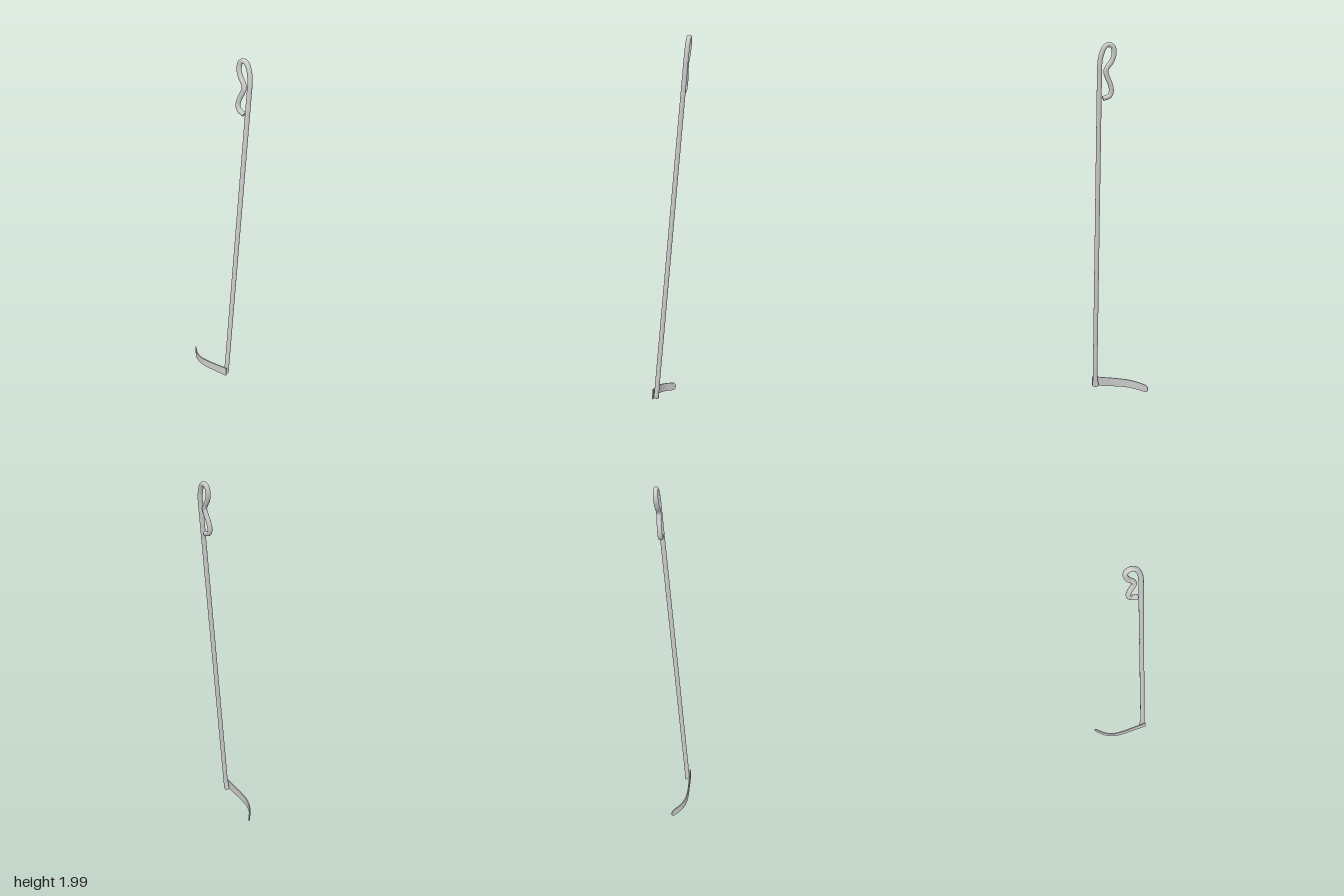
import * as THREE from 'three';

const ROD_R = 0.0128;
// The whole rod lies in one plane that leans back as it rises
const lean = (x, y) => new THREE.Vector3(x, y, 0.08 - 0.0883 * (y - 0.06));

function material() {
  return new THREE.MeshStandardMaterial({ color: 0xcccccc, side: THREE.DoubleSide });
}

function add(parent, name, geometry) {
  const mesh = new THREE.Mesh(geometry, material());
  mesh.name = name;
  parent.add(mesh);
  return mesh;
}

// Flat disc closing one end of a rod curve
function endCap(parent, name, curve, t) {
  const dir = curve.getTangent(t).multiplyScalar(t === 0 ? -1 : 1);
  const cap = add(parent, name, new THREE.CircleGeometry(ROD_R, 16));
  cap.position.copy(curve.getPoint(t));
  cap.quaternion.setFromUnitVectors(new THREE.Vector3(0, 0, 1), dir);
}

// Thin tapering blade: a box bent along a plan curve, with a rounded tip
function bladeGeometry() {
  const plan = new THREE.CatmullRomCurve3([
    [0.155, 0.097], [0.08, 0.0975], [0, 0.097], [-0.05, 0.09],
    [-0.1, 0.067], [-0.13, 0.041], [-0.154, 0.018],
  ].map(([x, z]) => new THREE.Vector3(x, 0, z)));
  const length = plan.getLength();
  const tipR = 0.021;
  const geo = new THREE.BoxGeometry(1, 1, 1, 60, 4, 1);
  const pos = geo.attributes.position;
  for (let i = 0; i < pos.count; i++) {
    // Ease towards the tip so the rounding gets closely spaced sections
    const u = pos.getX(i) + 0.5;
    const t = Math.sin(u * Math.PI / 2);
    const p = plan.getPointAt(t);
    const d = plan.getTangentAt(t);
    const s = THREE.MathUtils.clamp((0.155 - p.x) / 0.309, 0, 1);
    const top = 0.108 - 0.06 * s;
    const bottom = 0.053 - 0.048 * s;
    const fromTip = Math.min((1 - t) * length / tipR, 1);
    const round = Math.sqrt(Math.max(0, 1 - (1 - fromTip) ** 2));
    const y = (top + bottom) / 2 + pos.getY(i) * (top - bottom) * Math.max(round, 0.02);
    const off = pos.getZ(i) * 0.006;
    const tilt = -0.05 * (y - (top + bottom) / 2) * (1 - s);
    pos.setXYZ(i, p.x + d.z * off, y, p.z - d.x * off + tilt);
  }
  // The plan runs towards -x, so turn the faces outwards
  const idx = geo.index.array;
  for (let i = 0; i < idx.length; i += 3) [idx[i], idx[i + 1]] = [idx[i + 1], idx[i]];
  geo.computeVertexNormals();
  return geo;
}

export function createModel() {
  const group = new THREE.Group();
  group.name = 'hookedRod';

  // Long straight shaft
  const shaft = new THREE.LineCurve3(lean(0.142, 0.057), lean(0.142, 1.87));
  add(group, 'shaft', new THREE.TubeGeometry(shaft, 1, ROD_R, 16));
  endCap(group, 'shaftFootCap', shaft, 0);

  // Short return of the rod at its foot, lying behind the blade
  const foot = new THREE.LineCurve3(lean(0.133, 0.055), lean(0.142, 0.12));
  add(group, 'shaftFoot', new THREE.TubeGeometry(foot, 1, ROD_R, 16));
  endCap(group, 'footCap', foot, 0);

  // Bent wire handle: a closed-looking loop above an open curl
  const handle = new THREE.CatmullRomCurve3([
    [0.142, 1.85], [0.142, 1.88], [0.134, 1.935], [0.117, 1.974], [0.096, 1.987],
    [0.074, 1.975], [0.067, 1.946], [0.079, 1.902], [0.101, 1.872], [0.109, 1.85],
    [0.102, 1.825], [0.085, 1.785], [0.078, 1.75], [0.088, 1.724], [0.122, 1.711],
  ].map(([x, y]) => lean(x, y)));
  add(group, 'handleLoop', new THREE.TubeGeometry(handle, 110, ROD_R, 16));
  endCap(group, 'handleEndCap', handle, 1);

  // Curved blade across the foot of the shaft
  add(group, 'blade', bladeGeometry());
  return group;
}
